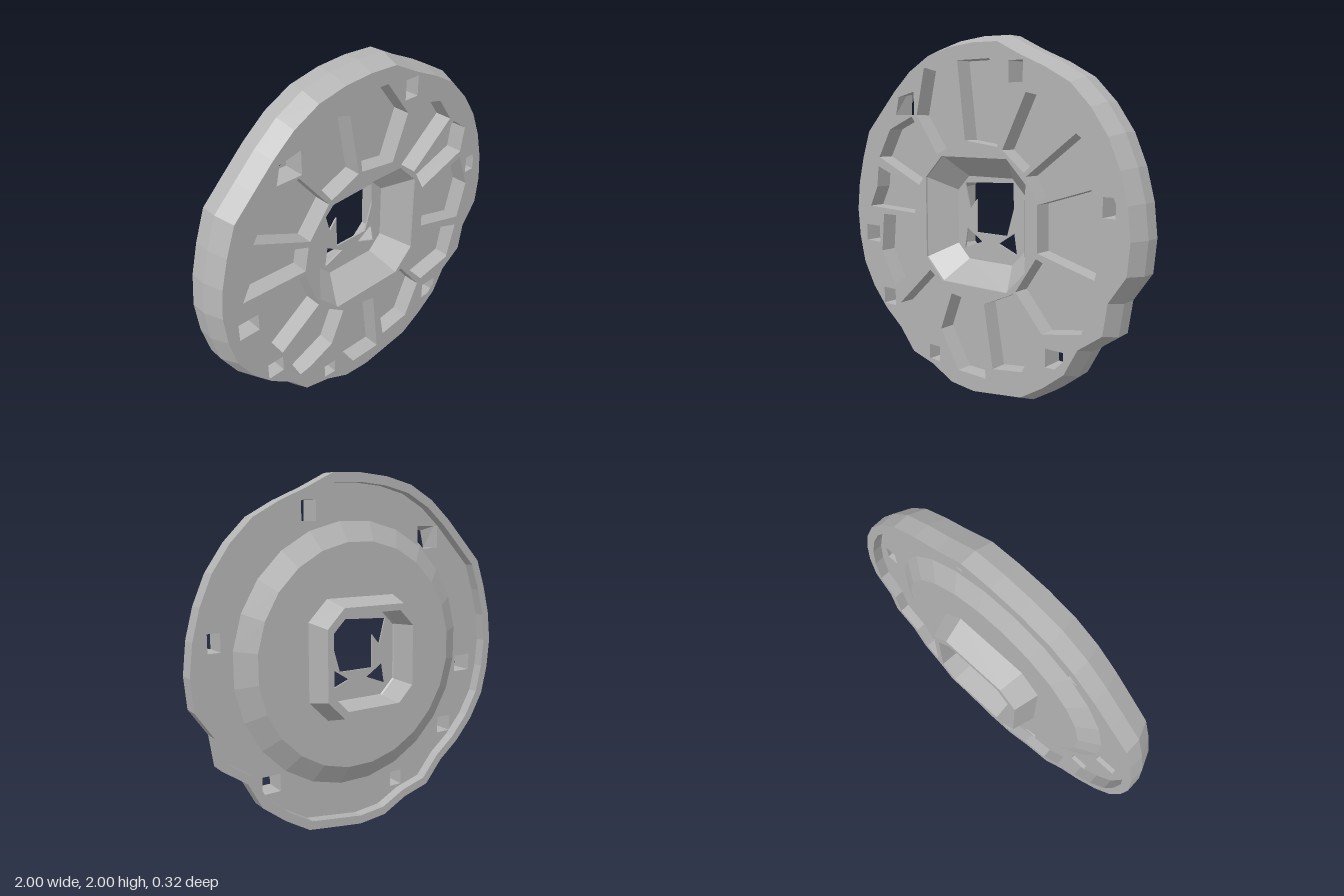
import * as THREE from 'three';

const RAD = Math.PI / 180;
const polar = (deg, r) => new THREE.Vector2(r * Math.cos(deg * RAD), r * Math.sin(deg * RAD));
const points = (list) => list.map(([x, y]) => new THREE.Vector2(x, y));

// Turn a regular octagon corner into that of a square with cut corners
const squareOff = (x, y) => (Math.abs(x) > Math.abs(y) ? [x, y * 1.57] : [x * 1.57, y]);
const octagon = (r) => points(Array.from({ length: 8 }, (_, i) => {
  const p = polar(22.5 + 45 * i, r);
  return squareOff(p.x, p.y);
}));

// Worn outer edge: one radius for every 10 degrees
const outline = [1, 0.995, 0.995, 1, 1, 1, 0.98, 0.975, 1.01, 1, 1, 1.005, 0.995, 0.98, 0.98, 1.01, 0.995, 0.995,
  1, 1, 1.005, 0.99, 0.97, 0.95, 0.995, 0.965, 1, 1, 0.99, 1.01, 0.99, 0.98, 0.93, 0.99, 0.94, 1]
  .map((r, i) => polar(i * 10, r));

// Openings through the rim: centre x, centre y, width, height
const openings = [
  [-0.52, 0.65, 0.15, 0.13], [0.29, 0.8, 0.09, 0.11], [0.845, 0.15, 0.07, 0.1], [-0.82, -0.14, 0.12, 0.1],
  [-0.68, -0.52, 0.1, 0.1], [-0.3, -0.8, 0.08, 0.09], [0.545, -0.655, 0.11, 0.1],
].map(([x, y, w, h]) => points([[x - w / 2, y - h / 2], [x + w / 2, y - h / 2],
  [x + w / 2, y + h / 2], [x - w / 2, y + h / 2]]));

// Petal pockets: start angle, end angle, outer radius at start, middle and end
const pockets = [
  [68, 97, 0.72, 0.88, 0.88], [40, 63, 0.81, 0.84, 0.78], [20, 37, 0.79, 0.87, 0.82], [-15, 17, 0.8, 0.83, 0.78],
  [-49, -19, 0.71, 0.87, 0.81], [-80, -52, 0.81, 0.84, 0.71], [-111, -84, 0.69, 0.87, 0.87],
  [-137, -115, 0.8, 0.87, 0.67], [-179, -145, 0.72, 0.78, 0.77], [160, 178, 0.81, 0.79, 0.84],
  [129, 156, 0.74, 0.82, 0.82], [100, 126, 0.8, 0.92, 0.72],
].map(([a, b, r0, r1, r2]) => [polar(a, 0.45), polar(a, r0), polar((a + b) / 2, r1), polar(b, r2), polar(b, 0.45)]);

// Plate between two depths with openings cut out
function plate(edge, holes, z0, z1) {
  const shape = new THREE.Shape(edge);
  shape.holes = holes.map((h) => new THREE.Path(h));
  return new THREE.ExtrudeGeometry(shape, { depth: z1 - z0, bevelEnabled: false }).translate(0, 0, z0);
}

// Move each vertex in x and y by a rule and shade the faces flat
function reshape(geometry, rule) {
  const pos = geometry.attributes.position;
  for (let i = 0; i < pos.count; i++) pos.setXY(i, ...rule(pos.getX(i), pos.getY(i), pos.getZ(i)));
  geometry.computeVertexNormals();
  return geometry;
}

// Closed profile of radius and depth turned about the z axis
const turned = (profile, sides) =>
  new THREE.LatheGeometry(points(profile), sides, Math.PI / sides).rotateX(Math.PI / 2).toNonIndexed();

export function createModel() {
  const group = new THREE.Group();
  const grey = new THREE.MeshStandardMaterial({ color: 0xb4b4b4 });
  grey.name = 'grey';
  const add = (name, geometry) => {
    const mesh = new THREE.Mesh(geometry, grey);
    mesh.name = name;
    mesh.position.y = 1;
    group.add(mesh);
  };

  // Front face with a sloping rim, pocket floors, and the rim wall reaching back
  const slope = (x, y, z) => (z > 0.1 && Math.hypot(x, y) > 0.928 ? [x * 0.96, y * 0.96] : [x, y]);
  add('rimAndRibs', reshape(plate(outline, [...openings, ...pockets, octagon(0.385)], 0.06, 0.16), slope));
  add('pocketFloor', plate(outline, [...openings, octagon(0.36)], 0.03, 0.06));
  add('rimWall', plate(outline, [outline.map((p) => p.clone().multiplyScalar(0.95))], -0.03, 0.03));

  // Raised centre of the back, leaving a channel inside the rim wall
  const core = turned([[0.33, -0.03], [0.64, -0.03], [0.77, 0.04], [0.33, 0.04], [0.33, -0.03]], 24);
  add('backCore', reshape(core, (x, y) => [x, y]));

  // Hub: shallow bowl in front, tapered collar behind
  const hub = turned([[0.325, -0.165], [0.365, -0.03], [0.395, 0.16], [0.26, 0.01], [0.27, -0.01],
    [0.285, -0.165], [0.325, -0.165]], 8);
  add('hub', reshape(hub, squareOff));

  // Thin plate inside the hub with a ragged centre opening and two small triangles
  const centre = points([[-0.1, -0.08], [0.12, -0.08], [0.21, 0.22], [-0.19, 0.2], [-0.15, 0.05], [-0.1, 0.11]]);
  const triangles = [-1, 1].map((s) => points([[s * 0.19, -0.18], [s * 0.06, -0.13], [s * 0.17, -0.06]]));
  add('hubPlate', plate(octagon(0.27), [centre, ...triangles], 0, 0.01));

  return group;
}
